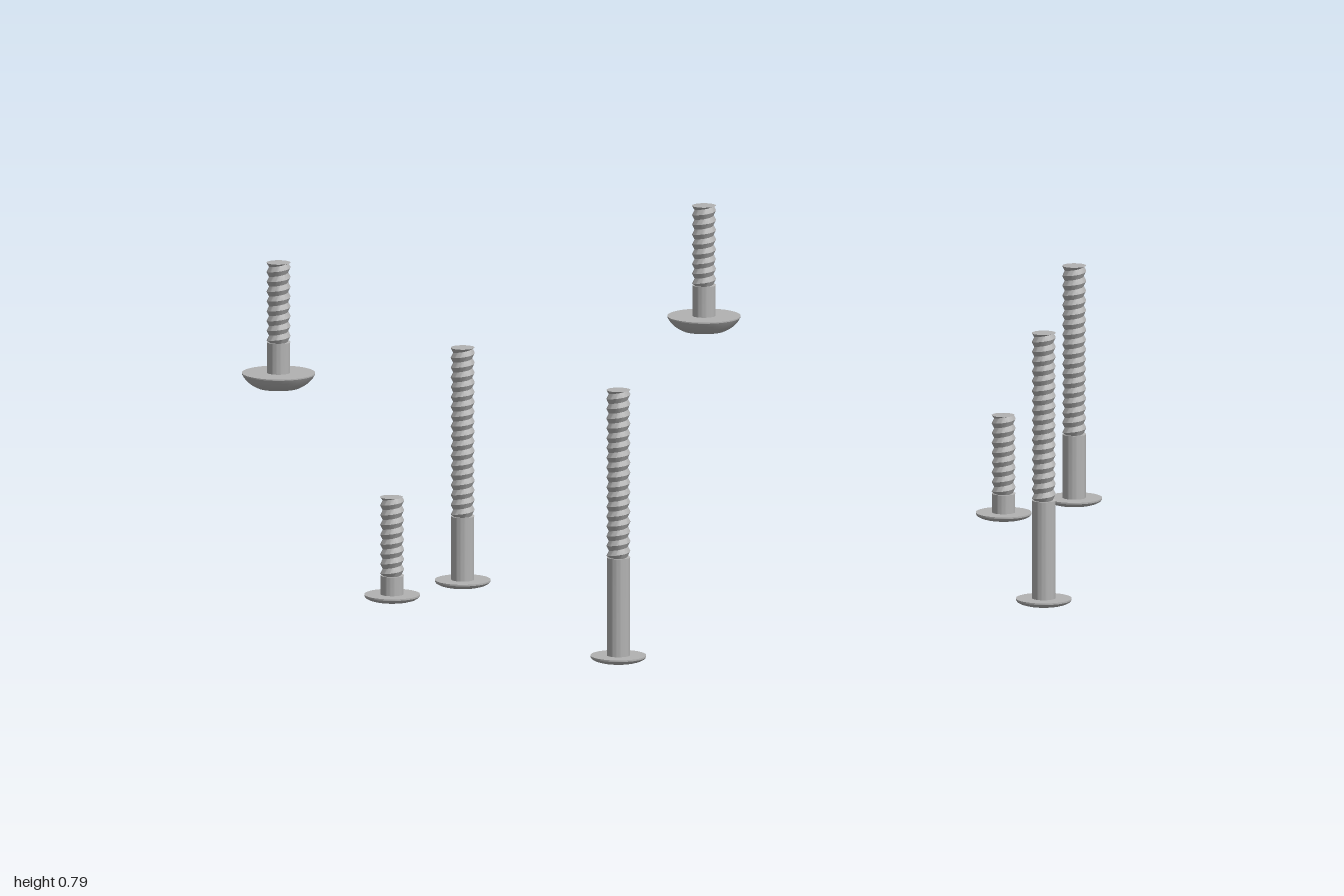
import * as THREE from 'three';
import { toCreasedNormals } from 'three/addons/utils/BufferGeometryUtils.js';

const steel = new THREE.MeshStandardMaterial({ color: 0xb2b2b2 });
steel.name = 'steel';

const SEG = 36;
const SHANK_R = 0.029;
const PITCH = 0.025;

// Surface through rows of rings, bottom to top; each row maps an angle to [radius, y]
function loft(rows) {
  const pos = [], index = [];
  rows.forEach((row, i) => {
    for (let j = 0; j <= SEG; j++) {
      const t = (j / SEG) * Math.PI * 2;
      const [r, y] = row(t);
      pos.push(r * Math.sin(t), y, r * Math.cos(t));
      if (i > 0 && j < SEG) {
        const a = (i - 1) * (SEG + 1) + j, d = a + SEG + 1;
        index.push(a, a + 1, d + 1, a, d + 1, d);
      }
    }
  });
  const geo = new THREE.BufferGeometry();
  geo.setAttribute('position', new THREE.Float32BufferAttribute(pos, 3));
  geo.setIndex(index);
  return toCreasedNormals(geo, 0.5);
}

const circle = (r, y) => () => [r, y];
const hexagon = (r, y) => (t) =>
  [r * Math.cos(Math.PI / 6) / Math.cos((t % (Math.PI / 3)) - Math.PI / 6), y];

// Head with a hexagonal socket underneath; the profile runs from the underside to the flange
function headGeometry(profile, socketR, depth) {
  return loft([
    circle(0, depth), hexagon(socketR, depth), hexagon(socketR, 0),
    ...profile.map(([r, y]) => circle(r, y)),
    circle(0, profile[profile.length - 1][1]),
  ]);
}

// Helical thread: alternating root and crest rows climb one pitch per turn
function threadGeometry(y0, y1) {
  const rows = [circle(SHANK_R - 0.004, y0)];
  const n = Math.ceil((y1 - y0) / PITCH) * 2;
  for (let k = -2; k <= n; k++) {
    rows.push((t) => {
      const y = y0 + (k / 2 + t / (Math.PI * 2)) * PITCH;
      return [k % 2 ? SHANK_R + 0.001 : SHANK_R - 0.005, THREE.MathUtils.clamp(y, y0, y1)];
    });
  }
  rows.push(circle(SHANK_R - 0.002, y1), circle(0, y1));
  return loft(rows);
}

const flatHead = {
  profile: [[0.05, 0], [0.06, 0.003], [0.067, 0.007], [0.07, 0.011], [0.07, 0.015]],
  socket: 0.042, depth: 0.008,
};
const domeHead = {
  profile: [[0.054, 0], [0.066, 0.006], [0.077, 0.014], [0.086, 0.024], [0.092, 0.034], [0.092, 0.037]],
  socket: 0.05, depth: 0.02,
};

// Heights: base of the head, end of the plain shank, tip of the thread
const bolts = [
  { name: 'frontBolt', x: 0.647, z: 0.76, base: 0, plain: 0.265, tip: 0.692, head: flatHead },
  { name: 'longSideBolt', x: 0.93, z: 0.484, base: 0.18, plain: 0.357, tip: 0.787, head: flatHead },
  { name: 'shortSideBolt', x: 0.93, z: 0.173, base: 0.092, plain: 0.155, tip: 0.355, head: flatHead },
  { name: 'rearBolt', x: 0.647, z: -0.738, base: 0.455, plain: 0.57, tip: 0.773, head: domeHead },
];

function part(name, geometry) {
  const mesh = new THREE.Mesh(geometry, steel);
  mesh.name = name;
  return mesh;
}

function makeBolt({ base, plain, tip, head }) {
  const bolt = new THREE.Group();
  const top = head.profile[head.profile.length - 1][1];
  const p = plain - base;
  bolt.add(
    part('head', headGeometry(head.profile, head.socket, head.depth)),
    part('shank', loft([circle(SHANK_R, top), circle(SHANK_R, p), circle(0, p)])),
    part('thread', threadGeometry(p, tip - base)),
  );
  return bolt;
}

export function createModel() {
  const model = new THREE.Group();
  model.name = 'boltSet';
  // Each bolt appears on both sides
  for (const spec of bolts) {
    for (const side of [1, -1]) {
      const bolt = makeBolt(spec);
      bolt.name = spec.name + (side > 0 ? 'Left' : 'Right');
      bolt.position.set(side * spec.x, spec.base, spec.z);
      model.add(bolt);
    }
  }
  return model;
}
